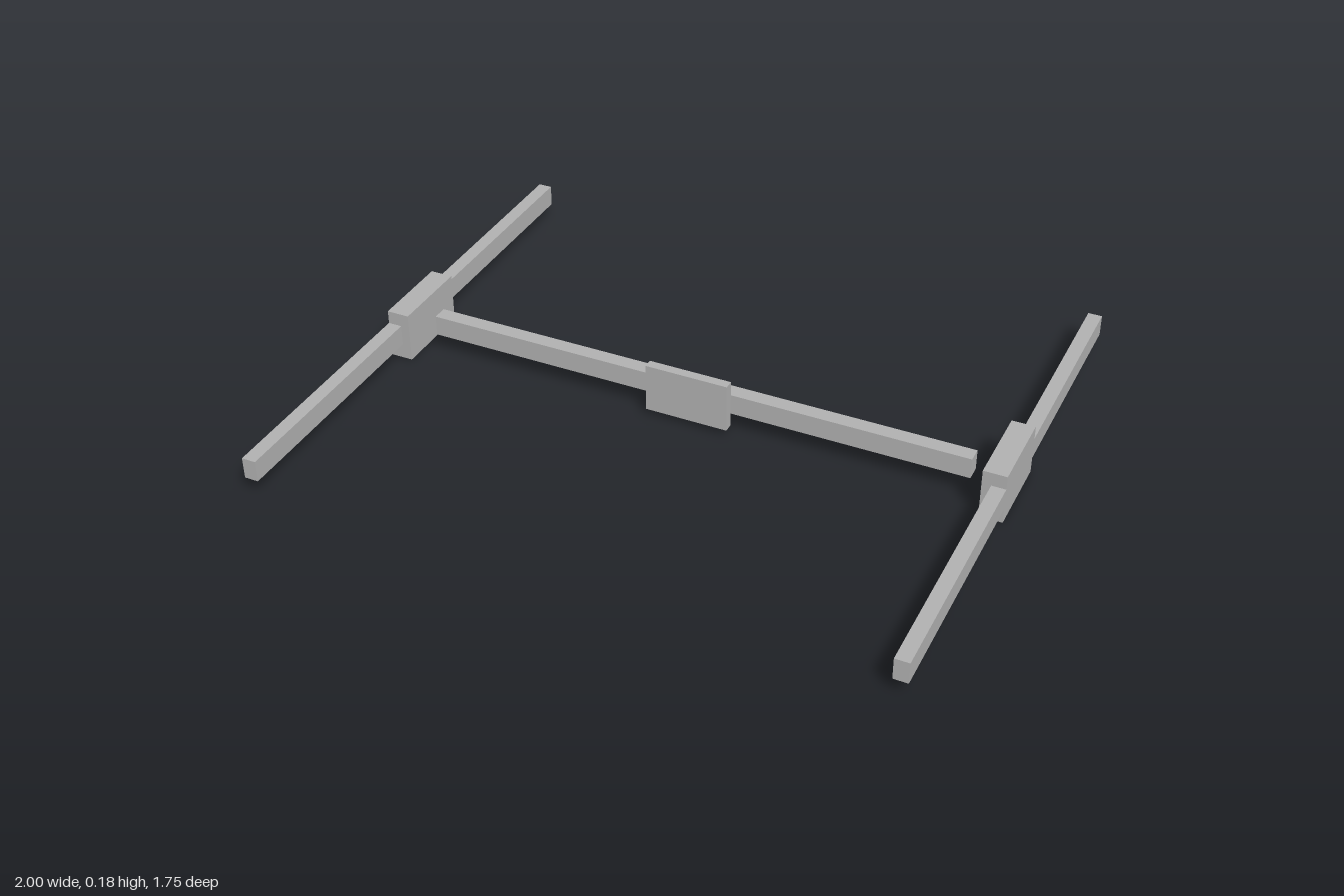
import * as THREE from 'three';

const grey = new THREE.MeshStandardMaterial({ color: 0xb0b0b0 });
grey.name = 'grey';

// Box given by its extents along each axis
function box(name, [x0, x1], [y0, y1], [z0, z1]) {
  const mesh = new THREE.Mesh(new THREE.BoxGeometry(x1 - x0, y1 - y0, z1 - z0), grey);
  mesh.position.set((x0 + x1) / 2, (y0 + y1) / 2, (z0 + z1) / 2);
  mesh.name = name;
  return mesh;
}

export function createModel() {
  const model = new THREE.Group();
  model.name = 'railFrame';

  // Cross beam with its centre plate on the front
  model.add(box('crossBeam', [-0.875, 0.875], [0.065, 0.131], [-0.021, 0.027]));
  model.add(box('centrePlate', [-0.132, 0.132], [0.022, 0.178], [0.027, 0.057]));

  // Side rails, flush with the outer face of their hub blocks
  for (const [side, s] of [['left', 1], ['right', -1]]) {
    const span = (inner) => (s > 0 ? [inner, 1] : [-1, -inner]);
    const rail = new THREE.Group();
    rail.name = side + 'SideRail';
    rail.add(
      box(side + 'HubBlock', span(0.928), [0, 0.16], [-0.161, 0.101]),
      box(side + 'FrontRail', span(0.956), [0.049, 0.117], [0.101, 0.875]),
      box(side + 'RearRail', span(0.956), [0.049, 0.117], [-0.875, -0.161])
    );
    model.add(rail);
  }
  return model;
}
